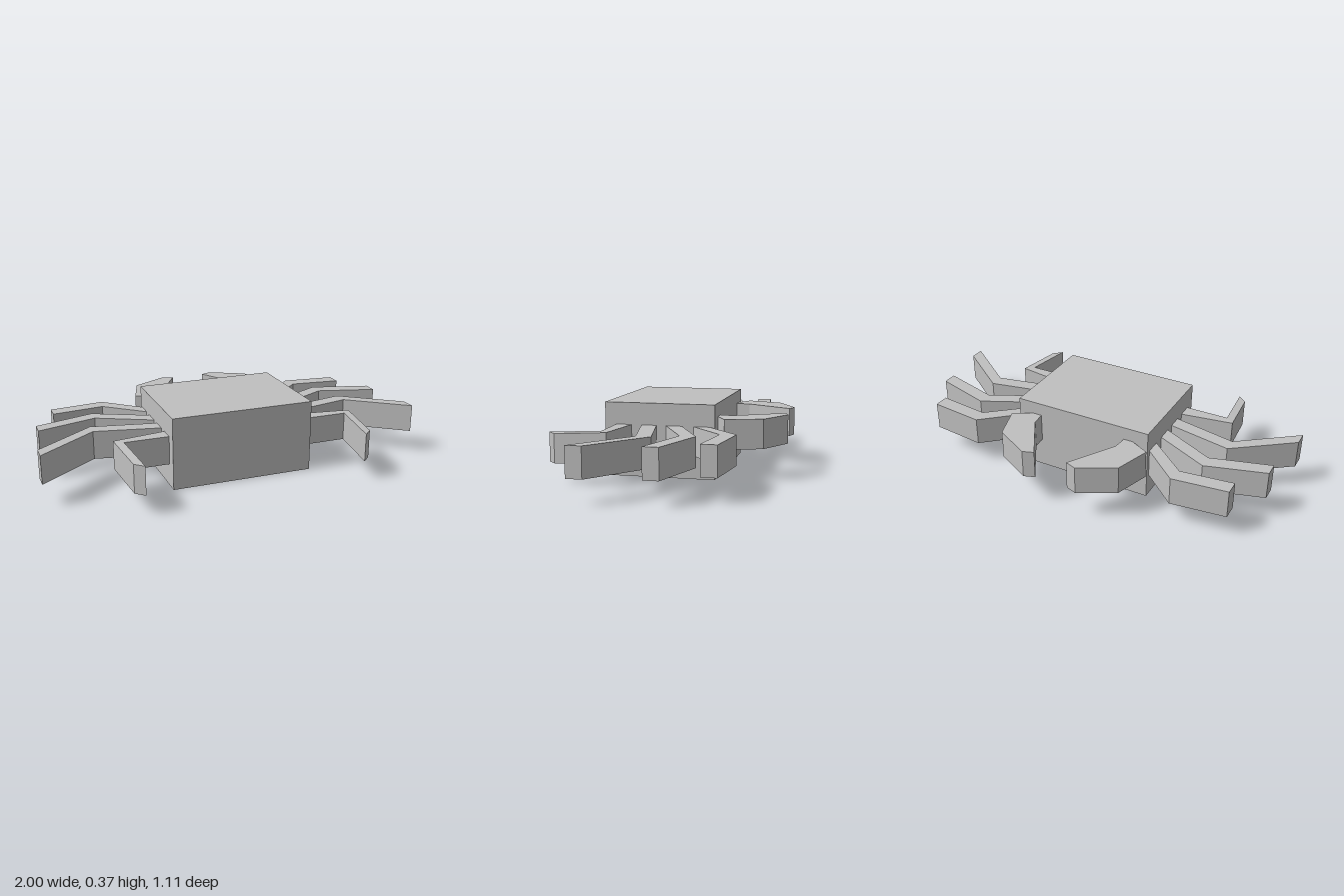
import * as THREE from 'three';

const shell = new THREE.MeshStandardMaterial({ color: 0xc0c0c0 });
shell.name = 'shellGrey';

// Upright slab from an outline of [x, z] points, spanning bottom to top
function slab(name, outline, bottom, top, side) {
  const shape = new THREE.Shape(outline.map(([x, z]) => new THREE.Vector2(x * side, z)));
  const geometry = new THREE.ExtrudeGeometry(shape, { depth: top - bottom, bevelEnabled: false });
  geometry.rotateX(Math.PI / 2).translate(0, top, 0);
  const mesh = new THREE.Mesh(geometry, shell);
  mesh.name = name;
  return mesh;
}

// Outlines for the +x side: root, knee and tip, out along one edge and back along the other
const legs = {
  FirstLeg: [[0.37, -0.2], [0.557, -0.366], [0.84, -0.334], [0.84, -0.256], [0.57, -0.288], [0.37, -0.118]],
  SecondLeg: [[0.37, -0.06], [0.65, -0.195], [0.955, -0.105], [0.955, -0.03], [0.65, -0.118], [0.37, 0.02]],
  ThirdLeg: [[0.37, 0.068], [0.703, 0], [1, 0.223], [1, 0.3], [0.703, 0.074], [0.37, 0.145]],
  FourthLeg: [[0.37, 0.196], [0.642, 0.237], [0.615, 0.508], [0.57, 0.55], [0.597, 0.275], [0.37, 0.275]],
};
const claw = [
  [0.09, -0.535], [0.147, -0.555], [0.33, -0.457], [0.388, -0.275],
  [0.28, -0.22], [0.24, -0.225], [0.233, -0.297],
];

export function createModel() {
  const model = new THREE.Group();
  model.name = 'crab';

  const body = new THREE.Mesh(new THREE.BoxGeometry(0.742, 0.371, 0.558), shell);
  body.name = 'body';
  body.position.set(0, 0.1855, 0.054);
  model.add(body);

  for (const side of [1, -1]) {
    const prefix = side > 0 ? 'left' : 'right';
    for (const [name, outline] of Object.entries(legs)) {
      const leg = slab(prefix + name, outline, 0.115, 0.261, side);
      // The tip of the last leg droops a little
      if (name === 'FourthLeg') {
        const p = leg.geometry.attributes.position;
        for (let i = 0; i < p.count; i++) {
          if (p.getZ(i) > 0.4) p.setY(i, p.getY(i) - 0.018);
        }
        leg.geometry.computeVertexNormals();
      }
      model.add(leg);
    }
    model.add(slab(prefix + 'Claw', claw, 0.157, 0.304, side));
  }
  return model;
}
